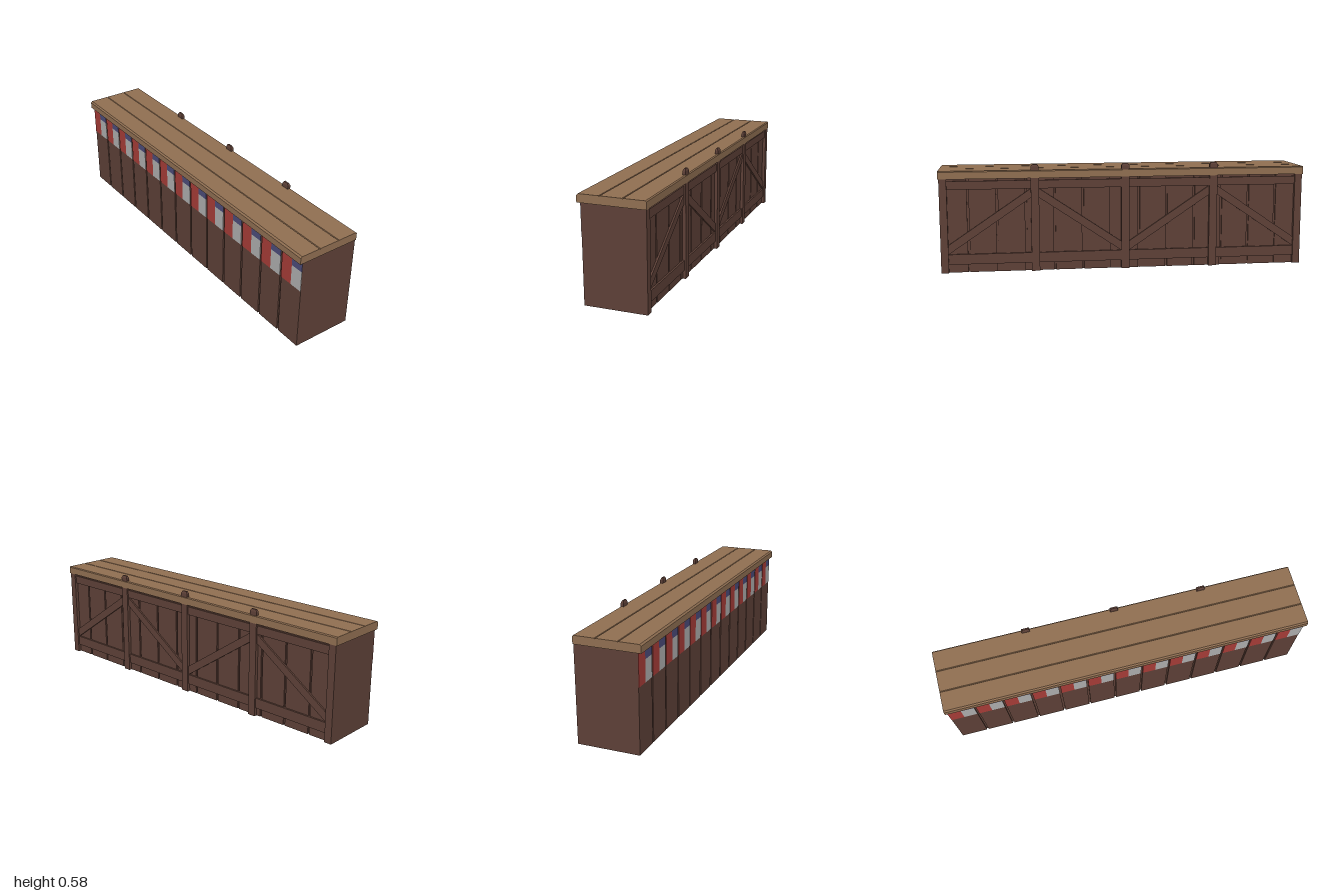
import * as THREE from 'three';

const material = (name, color) => {
  const m = new THREE.MeshStandardMaterial({ color });
  m.name = name;
  return m;
};

export function createModel() {
  const wood = material('dark wood', 0x5d4037);
  const topWood = material('light wood', 0x8f6e51);
  const red = material('red paint', 0xa63c37);
  const white = material('white paint', 0xadadad);
  const blue = material('blue paint', 0x4b4b78);

  const group = new THREE.Group();
  group.name = 'counter';

  const add = (name, geometry, mat) => {
    const mesh = new THREE.Mesh(geometry, mat);
    mesh.name = name;
    group.add(mesh);
    return mesh;
  };
  // Box given by its limits on each axis
  const box = (name, mat, x0, x1, y0, y1, z0, z1) => {
    const g = new THREE.BoxGeometry(x1 - x0, y1 - y0, z1 - z0);
    g.translate((x0 + x1) / 2, (y0 + y1) / 2, (z0 + z1) / 2);
    return add(name, g, mat);
  };

  const END = 0.995, H = 0.508, PITCH = 0.154, GAP = 0.005;
  const FRONT = 0.156, BACK = -0.172;

  // Solid core and plain end walls
  box('core', wood, -0.985, 0.985, 0, H, -0.146, 0.148);
  for (const s of [-1, 1]) {
    box('endWall', wood, Math.min(s * 0.985, s * END), Math.max(s * 0.985, s * END), 0, H, BACK, FRONT);
    box('endStile', wood, Math.min(s * 0.955, s * 0.985), Math.max(s * 0.955, s * 0.985), 0, H, BACK, -0.146);
  }

  // Planks on both long sides, with a painted pennant on each front plank
  for (let i = 0; i < 13; i++) {
    const mid = (i - 6) * PITCH;
    const x0 = Math.max(mid - PITCH / 2 + GAP, -END);
    const x1 = Math.min(mid + PITCH / 2 - GAP, END);
    box('frontPlank', wood, x0, x1, 0, H, 0.148, FRONT);
    box('backPlank', wood, Math.max(x0, -0.985), Math.min(x1, 0.985), 0, H, -0.154, -0.146);
    box('redStripe', red, x0, mid, 0.34, H, FRONT, FRONT + 0.002);
    box('whitePatch', white, mid, x1, 0.34, 0.453, FRONT, FRONT + 0.002);
    box('bluePatch', blue, mid, x1, 0.453, H, FRONT, FRONT + 0.002);
  }

  // Counter top: one profile with chamfered edges and two V grooves (u = -z)
  const profile = [
    [-0.175, 0.507], [0.174, 0.507], [0.174, 0.545], [0.169, 0.55],
    [0.061, 0.55], [0.058, 0.545], [0.055, 0.55],
    [-0.056, 0.55], [-0.059, 0.545], [-0.062, 0.55],
    [-0.167, 0.55], [-0.175, 0.542],
  ].map(([u, v]) => new THREE.Vector2(u, v));
  const top = new THREE.ExtrudeGeometry(new THREE.Shape(profile), { depth: 2, bevelEnabled: false });
  top.translate(0, 0, -1).rotateY(Math.PI / 2);
  add('counterTop', top, topWood);

  // Back posts with chamfered heads
  for (const x of [-0.49, 0, 0.49]) {
    box('backPost', wood, x - 0.022, x + 0.022, 0, 0.568, BACK, -0.155);
    const cap = new THREE.BoxGeometry(0.044, 0.012, 0.017);
    const p = cap.attributes.position;
    for (let i = 0; i < p.count; i++) {
      if (p.getY(i) > 0) p.setXYZ(i, p.getX(i) * 0.65, p.getY(i), p.getZ(i) * 0.5);
    }
    cap.computeVertexNormals();
    cap.translate(x, 0.574, (BACK - 0.155) / 2);
    add('postHead', cap, wood);
  }

  // Rails and alternating diagonal braces in the four back bays
  const bays = [[0.512, 0.955], [0.022, 0.468], [-0.468, -0.022], [-0.955, -0.512]];
  const LOW = 0.1, HIGH = 0.45, W = 0.05;
  bays.forEach(([x0, x1], i) => {
    box('topRail', wood, x0, x1, HIGH, 0.495, -0.164, -0.15);
    box('bottomRail', wood, x0, x1, 0.045, LOW, -0.164, -0.15);
    const rising = i % 2 === 1; // rises towards +x
    const a = rising ? LOW : HIGH - W;
    const b = rising ? HIGH - W : LOW;
    const shape = new THREE.Shape([
      new THREE.Vector2(x0, a), new THREE.Vector2(x1, b),
      new THREE.Vector2(x1, b + W), new THREE.Vector2(x0, a + W),
    ]);
    const brace = new THREE.ExtrudeGeometry(shape, { depth: 0.012, bevelEnabled: false });
    brace.translate(0, 0, -0.163);
    add('diagonalBrace', brace, wood);
  });

  return group;
}
